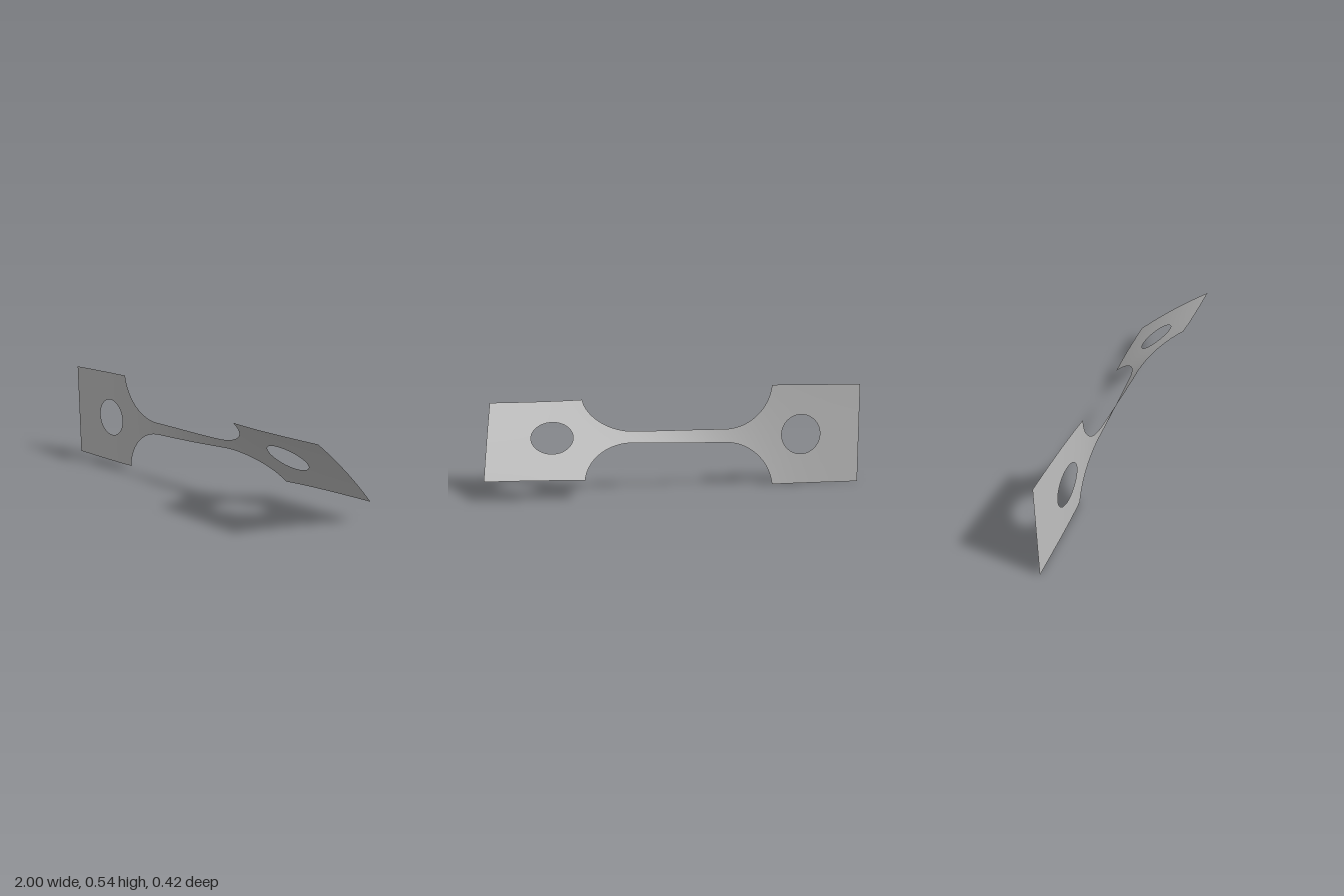
import * as THREE from 'three';
import { mergeVertices } from 'three/addons/utils/BufferGeometryUtils.js';

const GRIP = 0.271;      // half width of the grips
const NECK = 0.036;      // half width of the neck
const FILLET = 0.265;    // radius between neck and grip
const NECK_END = 0.245;  // where the fillets begin
const SHOULDER = NECK_END + Math.sqrt(FILLET ** 2 - (FILLET + NECK - GRIP) ** 2);
const HOLE_X = 0.67, HOLE_R = 0.108;

// half width of the flat outline at x
function outer(x) {
  const a = Math.abs(x);
  if (a >= SHOULDER) return GRIP;
  if (a <= NECK_END) return NECK;
  return NECK + FILLET - Math.sqrt(FILLET ** 2 - (a - NECK_END) ** 2);
}

// half height of the hole at x
function inner(x) {
  const d = Math.abs(x) - HOLE_X;
  return Math.sqrt(Math.max(0, HOLE_R ** 2 - d * d));
}

// twists the flat sheet about its length, with a slight dish toward the right end
function bend(x, v) {
  const angle = THREE.MathUtils.degToRad(25.5 + 25.2 * Math.tanh(x / 0.38));
  const c = Math.cos(angle), s = Math.sin(angle);
  const dish = 0.011 * THREE.MathUtils.smoothstep(x, 0, 0.6) * (1 - (v / GRIP) ** 2);
  const drift = 0.005 * Math.exp(-(((x + 0.35) / 0.4) ** 2));
  const y = 0.271 + 0.004 * THREE.MathUtils.smoothstep(x, -0.5, 0.5);
  return [x, y + v * c + dish * s, drift + v * s - dish * c];
}

// strips above and below the centre line, following the outline and the hole
function sheet(xs) {
  const rows = 12, pos = [], index = [];
  for (const side of [1, -1]) {
    const base = pos.length / 3;
    xs.forEach((x, i) => {
      const lo = inner(x), hi = outer(x);
      for (let j = 0; j <= rows; j++) {
        pos.push(...bend(x, side * (lo + (hi - lo) * j / rows)));
        if (i === 0 || j === 0) continue;
        const d = base + i * (rows + 1) + j, a = d - rows - 2, b = d - 1, e = d - rows - 1;
        if (side > 0) index.push(a, b, d, a, d, e);
        else index.push(a, d, b, a, e, d);
      }
    });
  }
  let g = new THREE.BufferGeometry();
  g.setAttribute('position', new THREE.Float32BufferAttribute(pos, 3));
  g.setIndex(index);
  g = mergeVertices(g, 1e-5);
  g.computeVertexNormals();
  return g;
}

// evenly spaced stations, or crowded toward both ends
function stations(a, b, n, crowded = false) {
  return Array.from({ length: n + 1 }, (_, i) => {
    const t = crowded ? (1 - Math.cos(Math.PI * i / n)) / 2 : i / n;
    return a + (b - a) * t;
  });
}

export function createModel() {
  const group = new THREE.Group();
  group.name = 'twistedTestStrip';
  const metal = new THREE.MeshStandardMaterial({ color: 0xc0c0c0, side: THREE.DoubleSide });
  metal.name = 'greyMetal';

  const add = (name, xs) => {
    const mesh = new THREE.Mesh(sheet(xs), metal);
    mesh.name = name;
    group.add(mesh);
  };

  // grips with their round holes
  const grip = [
    ...stations(SHOULDER, HOLE_X - HOLE_R, 4).slice(0, -1),
    ...stations(HOLE_X - HOLE_R, HOLE_X + HOLE_R, 32, true),
    ...stations(HOLE_X + HOLE_R, 1, 10).slice(1),
  ];
  add('leftGrip', grip);
  add('rightGrip', grip.map((x) => -x).reverse());

  // neck with its four fillets
  add('neck', [
    ...stations(-SHOULDER, 0, 50, true).slice(0, -1),
    ...stations(0, SHOULDER, 50, true),
  ]);
  return group;
}
